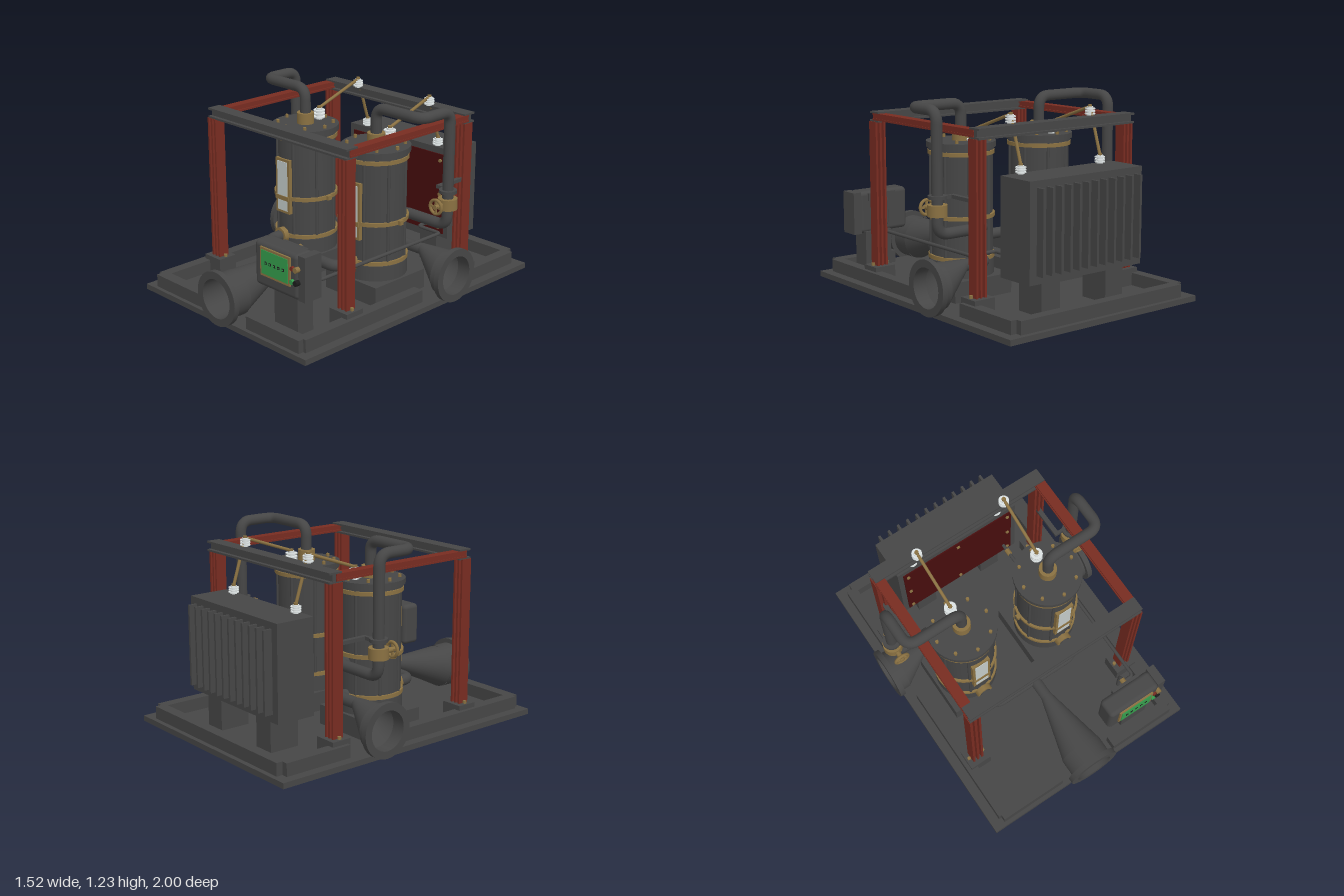
import * as THREE from 'three';
import { toCreasedNormals } from 'three/addons/utils/BufferGeometryUtils.js';
import { RoundedBoxGeometry } from 'three/addons/geometries/RoundedBoxGeometry.js';

const paint = (name, color, side = THREE.FrontSide) => new THREE.MeshStandardMaterial({ name, color, side });
const V = (x, y, z) => new THREE.Vector3(x, y, z);

export function createModel() {
  const steel = paint('dark steel', 0x464646);
  const openSteel = steel.clone();
  openSteel.side = THREE.DoubleSide;
  const red = paint('frame red', 0x782c21);
  const maroon = paint('panel maroon', 0x470d0d);
  const brass = paint('brass', 0x8a7142);
  const glass = paint('gauge glass', 0xc3cac8);
  const white = paint('porcelain', 0xdce2e2);
  const green = paint('screen green', 0x359c4c);
  const black = paint('black', 0x1c1c1c);

  const model = new THREE.Group();
  model.name = 'twinTankSkid';
  const add = (name, geo, mat, x = 0, y = 0, z = 0, parent = model) => {
    const m = new THREE.Mesh(geo, mat);
    m.name = name;
    m.position.set(x, y, z);
    parent.add(m);
    return m;
  };
  // box given by its extents
  const box = (name, mat, x0, x1, y0, y1, z0, z1, parent) =>
    add(name, new THREE.BoxGeometry(Math.abs(x1 - x0), y1 - y0, Math.abs(z1 - z0)), mat, (x0 + x1) / 2, (y0 + y1) / 2, (z0 + z1) / 2, parent);
  // upright cylinder from y0 to y1
  const cyl = (name, mat, r, y0, y1, x, z, seg = 32, parent) =>
    add(name, new THREE.CylinderGeometry(r, r, y1 - y0, seg), mat, x, (y0 + y1) / 2, z, parent);
  // cylinder along z
  const disc = (name, mat, r, len, x, y, z, seg = 24) =>
    add(name, new THREE.CylinderGeometry(r, r, len, seg).rotateX(Math.PI / 2), mat, x, y, z);
  // straight rod between two points
  const rod = (name, mat, a, b, r) => {
    const m = add(name, new THREE.CylinderGeometry(r, r, a.distanceTo(b), 10), mat);
    m.position.copy(a).lerp(b, 0.5);
    m.quaternion.setFromUnitVectors(V(0, 1, 0), b.clone().sub(a).normalize());
  };
  // pipe through corner points with rounded bends
  const pipe = (name, mat, pts, r, bend, parent) => {
    const path = new THREE.CurvePath();
    let last = pts[0];
    for (let i = 1; i < pts.length - 1; i++) {
      const p = pts[i];
      const a = p.clone().add(pts[i - 1].clone().sub(p).setLength(bend));
      const b = p.clone().add(pts[i + 1].clone().sub(p).setLength(bend));
      path.add(new THREE.LineCurve3(last, a));
      path.add(new THREE.QuadraticBezierCurve3(a, p.clone(), b));
      last = b;
    }
    path.add(new THREE.LineCurve3(last, pts[pts.length - 1]));
    return add(name, new THREE.TubeGeometry(path, 140, r, 16), mat, 0, 0, 0, parent);
  };
  // flanged inlet facing +z with an eccentric reducer behind it
  const inlet = (name, bodyLen, coneLen) => {
    const g = new THREE.Group();
    g.name = name;
    const profile = [[0.14, -bodyLen], [0.14, -0.035], [0.17, -0.035], [0.17, 0], [0.123, 0], [0.123, -bodyLen]]
      .map(([r, y]) => new THREE.Vector2(r, y));
    add('inletFlange', toCreasedNormals(new THREE.LatheGeometry(profile, 40).rotateX(Math.PI / 2), 0.6), openSteel, 0, 0, 0, g);
    const cone = new THREE.CylinderGeometry(0.138, 0.038, coneLen, 40, 1, true).rotateX(Math.PI / 2);
    const p = cone.attributes.position;
    for (let i = 0; i < p.count; i++) if (p.getZ(i) < 0) p.setY(i, p.getY(i) + 0.095);
    cone.computeVertexNormals();
    add('reducer', cone, openSteel, 0, 0, -bodyLen - coneLen / 2, g);
    model.add(g);
    return g;
  };
  // stacked porcelain insulator
  const insulator = (x, y, z, h) => {
    cyl('insulatorCore', white, 0.02, y, y + h, x, z, 16);
    for (let i = 0; i < 3; i++) cyl('insulatorShed', white, 0.038 - (h < 0.06 ? 0.006 : 0), y + h * (0.15 + 0.28 * i), y + h * (0.28 + 0.28 * i), x, z, 20);
    cyl('insulatorCap', brass, 0.013, y + h, y + h + 0.012, x, z, 12);
  };

  // base slab and broken curb
  box('baseSlab', steel, -0.73, 0.73, 0.01, 0.045, -1, 0.97);
  box('rearCurb', steel, -0.63, 0.63, 0.045, 0.125, -0.97, -0.9);

  // rear radiator cabinet
  box('cabinet', steel, -0.435, 0.435, 0.255, 0.85, -0.81, -0.55);
  box('cabinetPanel', maroon, -0.4, 0.4, 0.28, 0.81, -0.55, -0.542);
  for (let i = 0; i < 12; i++) {
    const x = -0.385 + i * 0.0685;
    box('coolingFin', steel, x, x + 0.016, 0.305, 0.81, -0.865, -0.81);
  }
  for (const x of [-0.37, 0, 0.37]) for (const y of [0.32, 0.545, 0.77])
    if (x || y !== 0.545) disc('panelBolt', brass, 0.012, 0.012, x, y, -0.538, 6);

  // front and rear top beams
  for (const z of [0.485, -0.525]) {
    box('beamTopFlange', steel, -0.605, 0.605, 1.12, 1.132, z - 0.045, z + 0.045);
    box('beamBottomFlange', steel, -0.605, 0.605, 1.068, 1.08, z - 0.045, z + 0.045);
    box('beamWeb', steel, -0.6, 0.6, 1.08, 1.12, z - 0.02, z + 0.02);
  }

  for (const s of [-1, 1]) {
    box('frontCurb', steel, s * 0.2, s * 0.65, 0.045, 0.125, 0.87, 0.945);
    box('sideCurb', steel, s * 0.6, s * 0.67, 0.045, 0.125, -0.06, 0.91);
    box('sideCurb', steel, s * 0.6, s * 0.67, 0.045, 0.125, -0.93, -0.47);
    box('cabinetLeg', steel, s * 0.18, s * 0.32, 0.045, 0.255, -0.78, -0.58);

    // frame posts with feet
    for (const z of [0.497, -0.515]) {
      box('postFoot', steel, s * 0.5, s * 0.645, 0.045, 0.155, z - 0.065, z + 0.065);
      for (const dx of [-0.03, 0, 0.03]) box('postPlate', red, s * 0.573 + dx - 0.007, s * 0.573 + dx + 0.007, 0.155, 1.07, z - 0.036, z + 0.036);
      box('postWeb', red, s * 0.573 - 0.03, s * 0.573 + 0.03, 0.155, 1.07, z - 0.012, z + 0.012);
      cyl('footBolt', brass, 0.012, 0.155, 0.172, s * 0.622, z, 6);
      cyl('footBolt', brass, 0.012, 0.155, 0.172, s * 0.52, z, 6);
    }
    // side beam
    box('sideBeamTop', red, s * 0.542, s * 0.606, 1.11, 1.122, -0.52, 0.5);
    box('sideBeamBottom', red, s * 0.542, s * 0.606, 1.078, 1.09, -0.52, 0.5);
    box('sideBeamWeb', red, s * 0.552, s * 0.602, 1.085, 1.115, -0.52, 0.5);

    // tank
    const tx = s * 0.31, tz = -0.015;
    box('tankPlinth', steel, tx - 0.215, tx + 0.215, 0.045, 0.17, -0.235, 0.2);
    cyl('tankFoot', steel, 0.2, 0.17, 0.265, tx, tz, 40);
    cyl('tankBody', steel, 0.19, 0.26, 0.95, tx, tz, 40);
    cyl('tankLowerFlange', steel, 0.2, 0.935, 0.955, tx, tz, 40);
    cyl('tankLid', steel, 0.212, 0.95, 0.985, tx, tz, 40);
    for (const y of [0.27, 0.522, 0.908]) cyl('tankBand', brass, y === 0.522 ? 0.205 : 0.203, y, y + 0.024, tx, tz, 40);
    for (const side of [-1, 1]) box('bandClamp', brass, tx + side * 0.195, tx + side * 0.222, 0.52, 0.548, tz - 0.015, tz + 0.015);
    for (let i = 0; i < 8; i++) {
      const a = i * Math.PI / 4, b = a + Math.PI / 8;
      cyl('lidBolt', brass, 0.011, 0.985, 1.005, tx + 0.175 * Math.cos(a), tz + 0.175 * Math.sin(a), 6);
      cyl('tieRod', steel, 0.01, 0.265, 0.95, tx + 0.19 * Math.cos(b), tz + 0.19 * Math.sin(b), 8);
    }
    cyl('outletCollar', brass, 0.055, 0.985, 1.055, tx, tz, 24);

    // sight window
    box('windowFrame', brass, tx - 0.062, tx + 0.062, 0.43, 0.79, 0.155, 0.188);
    box('windowGlass', glass, tx - 0.045, tx + 0.045, 0.447, 0.773, 0.186, 0.191);
    box('windowBar', brass, tx - 0.06, tx + 0.06, 0.518, 0.546, 0.186, 0.196);

    // overhead pipe down to the rear of the tank
    pipe('overheadPipe', steel, [V(tx, 1.03, tz), V(tx, 1.21, tz), V(s * 0.672, 1.21, tz), V(s * 0.672, 1.21, -0.265),
      V(s * 0.672, 0.488, -0.265), V(tx, 0.488, -0.265), V(tx, 0.488, -0.17)], 0.034, 0.075);
    cyl('pipeFlange', steel, 0.055, 0.702, 0.722, s * 0.672, -0.265, 24);
    box('pipeBracket', steel, s * 0.57, s * 0.672, 0.7, 0.722, -0.3, -0.28);
    box('pipeBracket', steel, s * 0.565, s * 0.595, 0.7, 0.722, -0.5, -0.28);

    // valve and hand wheel
    cyl('valveBody', brass, 0.06, 0.6, 0.668, s * 0.672, -0.265, 24);
    disc('valveStem', brass, 0.016, 0.1, s * 0.672, 0.637, -0.195, 12);
    add('valveWheel', new THREE.TorusGeometry(0.044, 0.01, 8, 28), brass, s * 0.672, 0.637, -0.158);
    for (const a of [0, Math.PI / 2])
      add('wheelSpoke', new THREE.BoxGeometry(0.088, 0.012, 0.012), brass, s * 0.672, 0.637, -0.158).rotation.z = a;

    // side inlet and its feed
    const side = inlet('sideInlet', 0.09, 0.19);
    side.position.set(s * 0.76, 0.185, -0.265);
    side.rotation.y = s * Math.PI / 2;
    pipe('sideFeed', steel, [V(s * 0.49, 0.28, -0.265), V(tx, 0.28, -0.265), V(tx, 0.28, -0.17)], 0.036, 0.06);

    // front feed and fitting
    pipe('frontFeed', steel, [V(0, 0.28, 0.32), V(tx, 0.28, 0.32), V(tx, 0.28, 0.17)], 0.036, 0.07);
    disc('feedFitting', brass, 0.054, 0.035, tx, 0.28, 0.2, 8);

    // insulators and conductors
    insulator(tx, 0.85, -0.58, 0.05);
    insulator(tx, 1.13, -0.488, 0.055);
    insulator(tx, 0.985, -0.135, 0.075);
    rod('conductor', brass, V(tx, 0.9, -0.58), V(tx, 1.185, -0.488), 0.01);
    rod('conductor', brass, V(tx, 1.185, -0.488), V(tx, 1.06, -0.135), 0.01);
  }

  // front inlet
  inlet('frontInlet', 0.15, 0.39).position.set(0, 0.185, 1);
  pipe('frontTee', steel, [V(0, 0.28, 0.47), V(0, 0.28, 0.3)], 0.037, 0);

  // control console
  box('consoleStand', steel, 0.335, 0.53, 0.045, 0.32, 0.72, 0.84);
  add('consoleCase', new RoundedBoxGeometry(0.365, 0.275, 0.13, 4, 0.028), steel, 0.378, 0.445, 0.8);
  box('consoleSideBox', steel, 0.555, 0.61, 0.31, 0.582, 0.73, 0.855);
  box('screenFrame', brass, 0.258, 0.507, 0.385, 0.56, 0.863, 0.876);
  box('screen', green, 0.272, 0.493, 0.4, 0.546, 0.874, 0.88);
  for (let i = 0; i < 5; i++) {
    const x = 0.312 + i * 0.036;
    box('screenKey', black, x - 0.008, x + 0.008, 0.465, 0.481, 0.879, 0.884);
    box('screenKeyFace', green, x - 0.004, x + 0.004, 0.47, 0.477, 0.883, 0.886);
  }
  disc('redButton', red, 0.014, 0.02, 0.525, 0.5, 0.87, 16);
  disc('greenButton', green, 0.015, 0.025, 0.523, 0.42, 0.87, 16);
  disc('brassButton', brass, 0.017, 0.03, 0.556, 0.5, 0.868, 16);
  disc('blackButton', black, 0.017, 0.03, 0.556, 0.42, 0.868, 16);

  // signal conduit from console to cabinet
  pipe('conduit', steel, [V(0.4, 0.545, 0.74), V(0.4, 0.545, 0.67), V(0.4, 0.365, 0.67), V(0.52, 0.365, 0.67),
    V(0.52, 0.365, -0.38), V(0.34, 0.365, -0.38), V(0.34, 0.365, -0.55)], 0.011, 0.025);
  box('consoleBackPlate', steel, 0.3, 0.5, 0.52, 0.57, 0.72, 0.74);
  disc('conduitNut', brass, 0.018, 0.04, 0.4, 0.545, 0.71, 6);
  disc('conduitNut', brass, 0.018, 0.04, 0.34, 0.365, -0.48, 6);
  return model;
}
